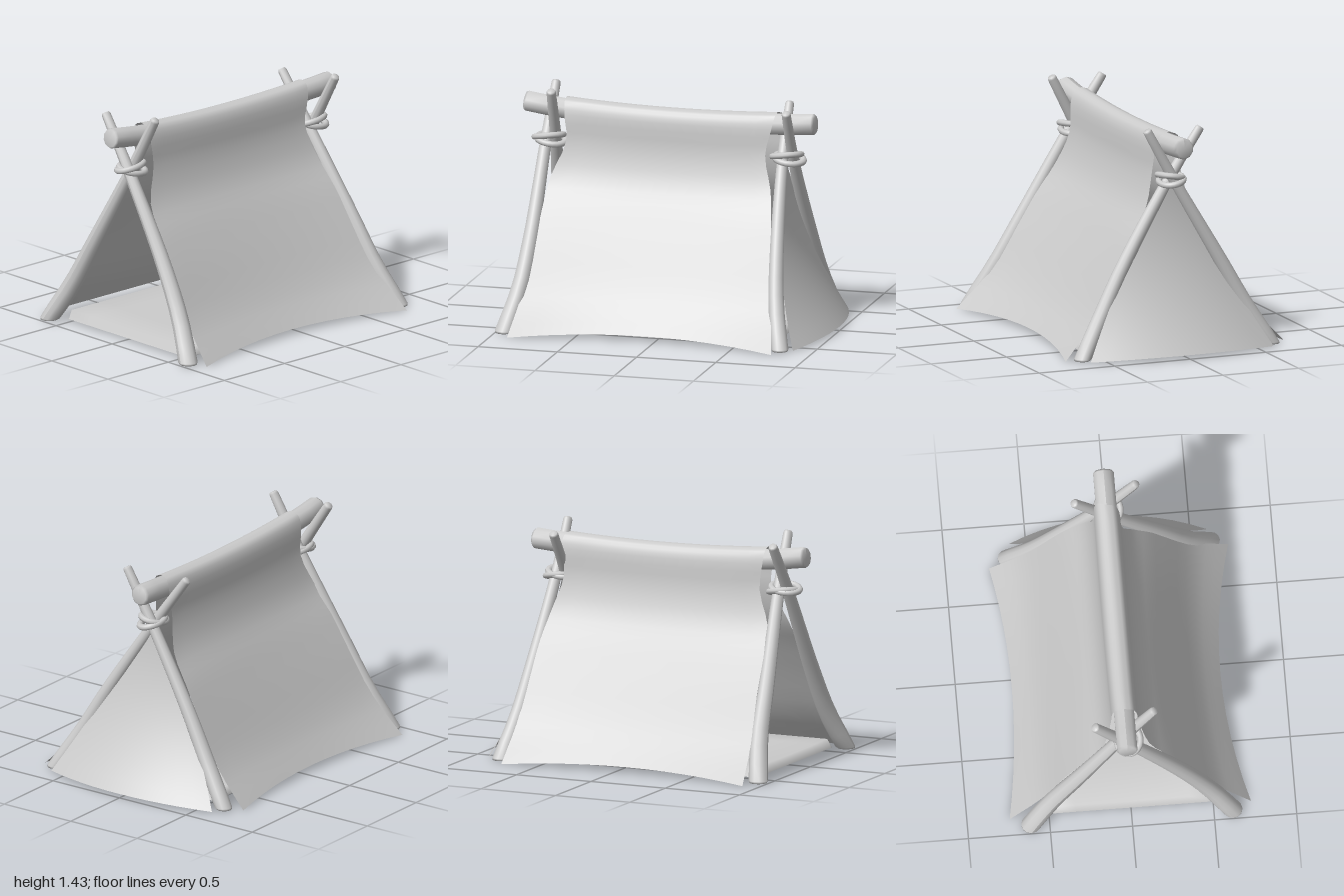
import * as THREE from 'three';

const V = (p) => new THREE.Vector3(...p);
const UP = new THREE.Vector3(0, 1, 0);
const LEVEL = new THREE.Quaternion();

export function createModel() {
  const model = new THREE.Group();
  const wood = new THREE.MeshStandardMaterial({ color: 0xcccccc });
  const cloth = new THREE.MeshStandardMaterial({ color: 0xcccccc, side: THREE.DoubleSide });

  const add = (name, geometry, material, parent = model) => {
    const mesh = new THREE.Mesh(geometry, material);
    mesh.name = name;
    parent.add(mesh);
    return mesh;
  };

  // Tapered log with softened ends, bent along a curve; a foot is cut level with the ground
  const log = (name, points, r0, r1, sides, foot) => {
    const curve = new THREE.CatmullRomCurve3(points.map(V));
    const profile = [[0, 0], [r0 * 0.88, 0], [r0, 0.008]];
    for (let i = 1; i < 14; i++) profile.push([THREE.MathUtils.lerp(r0, r1, i / 14), i / 14]);
    profile.push([r1, 0.992], [r1 * 0.8, 1], [0, 1]);
    const g = new THREE.LatheGeometry(profile.map((p) => new THREE.Vector2(...p)), sides);
    const pos = g.attributes.position;
    const q = new THREE.Quaternion();
    for (let i = 0; i < pos.count; i++) {
      const t = pos.getY(i);
      q.setFromUnitVectors(UP, curve.getTangentAt(t));
      if (foot) q.slerp(LEVEL, (1 - t) ** 10);
      const p = new THREE.Vector3(pos.getX(i), 0, pos.getZ(i)).applyQuaternion(q);
      p.add(curve.getPointAt(t));
      pos.setXYZ(i, p.x, p.y, p.z);
    }
    g.computeVertexNormals();
    return add(name, g, wood);
  };

  // Cloth: a grid placed by a rule, with u and v running from -1 to 1
  const sheet = (name, nu, nv, rule) => {
    const g = new THREE.PlaneGeometry(2, 2, nu, nv);
    const pos = g.attributes.position;
    for (let i = 0; i < pos.count; i++) {
      pos.setXYZ(i, ...rule(pos.getX(i), pos.getY(i)));
    }
    g.computeVertexNormals();
    return add(name, g, cloth);
  };

  // Crossed support poles, two at each end
  log('frontPoleRight', [[-0.62, 0.01, 0.945], [-0.48, 0.25, 0.885], [-0.315, 0.55, 0.855],
    [-0.03, 1.08, 0.8], [0.15, 1.42, 0.78]], 0.06, 0.029, 12, true);
  log('frontPoleLeft', [[0.62, 0.01, 0.945], [0.48, 0.25, 0.885], [0.31, 0.55, 0.86],
    [-0.01, 1.08, 0.855], [-0.22, 1.395, 0.85]], 0.06, 0.029, 12, true);
  log('backPoleRight', [[-0.63, 0.01, -0.785], [-0.48, 0.25, -0.745], [-0.315, 0.55, -0.72],
    [-0.02, 1.06, -0.7], [0.16, 1.38, -0.705]], 0.054, 0.028, 12, true);
  log('backPoleLeft', [[0.63, 0.01, -0.8], [0.48, 0.25, -0.735], [0.31, 0.55, -0.69],
    [-0.02, 1.06, -0.635], [-0.23, 1.355, -0.62]], 0.054, 0.028, 12, true);

  // Ridge pole resting in the forks
  log('ridgePole', [[-0.03, 1.305, 0.99], [-0.03, 1.27, 0.72], [-0.03, 1.244, 0.1],
    [-0.03, 1.26, -0.6], [-0.03, 1.275, -0.84]], 0.064, 0.066, 10, false);

  // Rope lashings where the poles cross
  for (const [name, y, z] of [['frontLashing', 1.09, 0.83], ['backLashing', 1.065, -0.67]]) {
    const lashing = new THREE.Group();
    lashing.name = name;
    lashing.position.set(-0.012, y, z);
    for (const s of [-1, 1]) {
      const ring = new THREE.TorusGeometry(0.074, 0.019, 8, 24).rotateX(Math.PI / 2);
      ring.scale(1, 1, 1.18).rotateX(s * 0.14).rotateZ(s * 0.2);
      add('ropeLoop', ring, wood, lashing).position.set(0, s * 0.01, s * 0.008);
    }
    model.add(lashing);
  }

  // Roof cloth: half profiles at the front, middle and back, ridge to hem
  const profiles = [
    [[0, 1.35, 0.73], [0.05, 1.328, 0.73], [0.075, 1.25, 0.725], [0.083, 1.09, 0.71],
      [0.14, 0.88, 0.79], [0.255, 0.7, 0.812], [0.375, 0.5, 0.825], [0.54, 0.22, 0.86],
      [0.735, 0.005, 0.895]],
    [[0, 1.322, 0.07], [0.05, 1.302, 0.07], [0.076, 1.235, 0.07], [0.085, 1.07, 0.07],
      [0.135, 0.88, 0.07], [0.235, 0.7, 0.07], [0.345, 0.5, 0.07], [0.5, 0.22, 0.07],
      [0.635, 0.04, 0.07]],
    [[0, 1.337, -0.6], [0.05, 1.317, -0.595], [0.075, 1.24, -0.58], [0.083, 1.08, -0.545],
      [0.14, 0.88, -0.595], [0.255, 0.7, -0.63], [0.37, 0.5, -0.66], [0.535, 0.22, -0.705],
      [0.73, 0.005, -0.75]],
  ].map((points) => new THREE.CatmullRomCurve3(points.map(V)));
  sheet('roofCloth', 48, 12, (u, v) => {
    const side = Math.abs(u);
    const [f, m, b] = profiles.map((c) => c.getPoint(side));
    const back = v * (v - 1) / 2;
    const p = f.multiplyScalar(v * (v + 1) / 2)
      .addScaledVector(m, 1 - v * v)
      .addScaledVector(b, back);
    const lean = THREE.MathUtils.lerp(-0.005 - 0.02 * (1 - v * v), -0.03, p.y / 1.35);
    // The right half reaches further back, up to its pole
    const reach = u < 0 ? 0.065 * Math.sin(Math.PI * side) - 0.02 * side ** 4 : 0.02 * side ** 4;
    return [Math.sign(u) * p.x + lean, p.y, p.z - Math.max(back, 0) * reach];
  });

  // Back panel: a triangle that bellies outward at the hem
  sheet('backPanel', 12, 14, (u, v) => {
    const t = (1 - v) / 2;
    const belly = 1 - u * u;
    return [
      u * (0.015 + 0.59 * t),
      1.05 - 1.04 * t + 0.02 * t * belly,
      -0.66 - t * t * (0.215 + 0.125 * belly),
    ];
  });

  // Ground mat: the outermost row of the grid folds down as a rim
  const spread = (d) => (Math.abs(d) === 1 ? d : d * 0.97 / 0.75);
  sheet('groundMat', 8, 8, (u, v) => {
    const rim = Math.max(Math.abs(u), Math.abs(v)) === 1;
    return [
      0.01 + 0.535 * spread(u),
      rim ? 0.02 : 0.068 + 0.01 * u * u,
      0.075 + 0.81 * spread(v),
    ];
  });

  return model;
}
